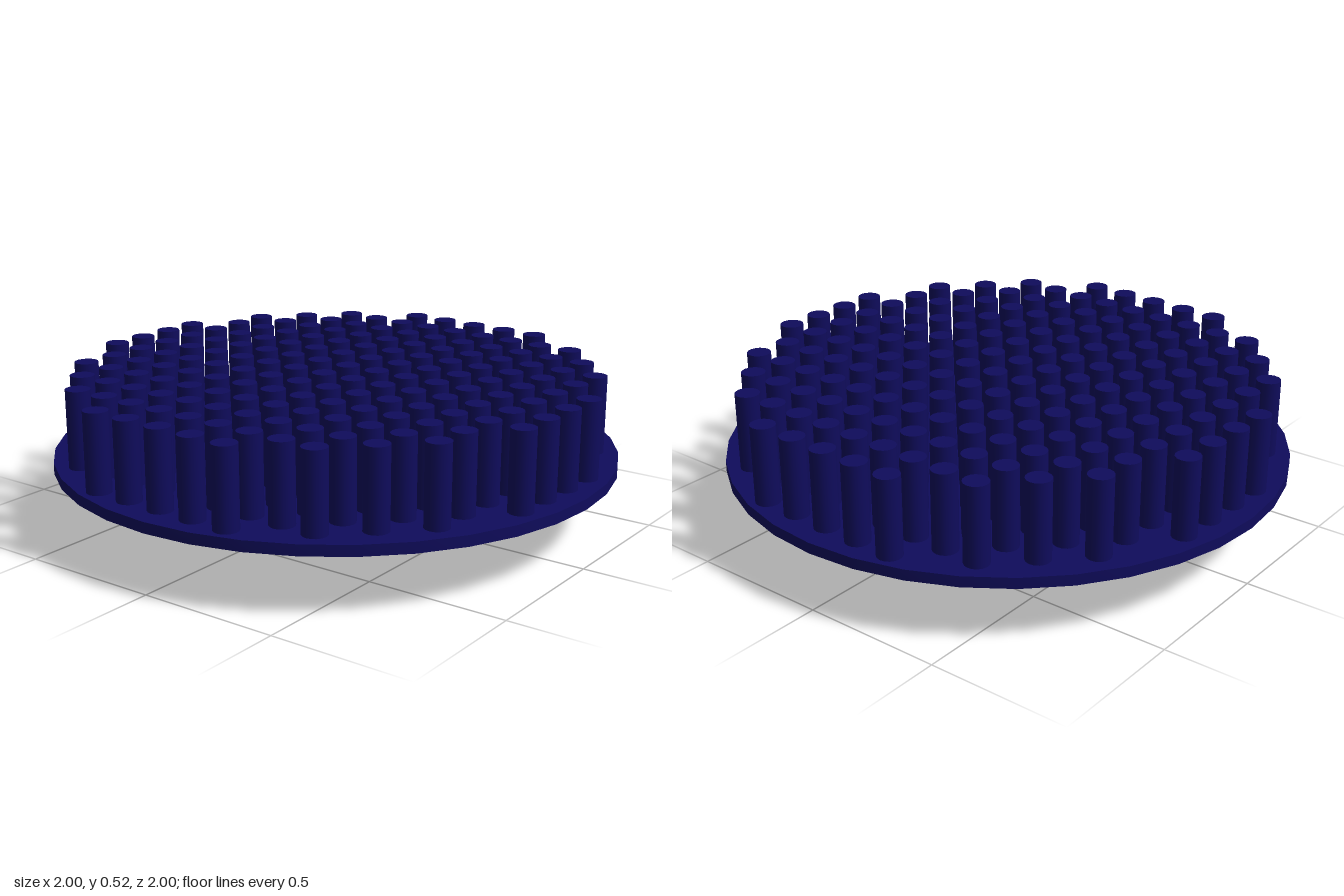
import * as THREE from 'three';
import { toCreasedNormals } from 'three/addons/utils/BufferGeometryUtils.js';

const BORE = 0.024, HUB_R = 0.063, DISC_Y = 0.205, DISC_TOP = 0.243, PEG_TOP = 0.52;

export function createModel() {
  const model = new THREE.Group();
  const grey = new THREE.MeshStandardMaterial({ color: 0xcccccc });
  const navy = new THREE.MeshStandardMaterial({ color: 0x0f0c5c });

  const add = (name, geometry, material, parent = model) => {
    const mesh = new THREE.Mesh(geometry, material);
    mesh.name = name;
    parent.add(mesh);
    return mesh;
  };
  const lathe = (points, sides) => toCreasedNormals(
    new THREE.LatheGeometry(points.map(([r, y]) => new THREE.Vector2(r, y)), sides), 0.6);

  // Thin disc with a small centre hole; its underside is grey
  add('disc', lathe([[1, DISC_Y], [1, DISC_TOP], [BORE, DISC_TOP], [BORE, DISC_Y]], 36), navy);
  add('discUnderside', lathe([[BORE, DISC_Y], [1, DISC_Y]], 36), grey);

  // Hollow hub whose top flares into the disc through a quarter-round fillet
  const profile = [[BORE, DISC_Y], [BORE, 0], [HUB_R, 0]];
  const fillet = 0.085;
  for (let i = 0; i <= 8; i++) {
    const a = (i / 8) * Math.PI / 2;
    profile.push([HUB_R + fillet * (1 - Math.cos(a)), DISC_Y - fillet + fillet * Math.sin(a)]);
  }
  add('hub', lathe(profile, 20), grey);

  // Tapered key mark wrapped on the front of the hub
  const keyPatch = (name, y0, y1, left0, right0, left1, right1) => {
    const g = new THREE.PlaneGeometry(1, 1, 8, 4);
    const p = g.attributes.position;
    for (let i = 0; i < p.count; i++) {
      const u = p.getX(i) + 0.5, t = p.getY(i) + 0.5;
      const x = THREE.MathUtils.lerp(
        THREE.MathUtils.lerp(left0, left1, t), THREE.MathUtils.lerp(right0, right1, t), u);
      const y = THREE.MathUtils.lerp(y0, y1, t);
      const rise = Math.max(0, y - (DISC_Y - fillet));
      const r = HUB_R + 0.002 + fillet - Math.sqrt(fillet * fillet - rise * rise);
      p.setXYZ(i, x, y, Math.sqrt(r * r - x * x));
    }
    g.computeVertexNormals();
    add(name, g, navy);
  };
  keyPatch('keyMark', 0, 0.125, -0.06, 0.025, -0.048, 0.012);
  keyPatch('keyMarkTip', 0.125, 0.153, -0.038, -0.004, -0.036, -0.006);

  // Rows of upright pegs, mirrored front to back and turned slightly as a whole
  const pegs = new THREE.Group();
  pegs.name = 'pegs';
  pegs.rotation.y = -0.032;
  model.add(pegs);
  const pegHeight = PEG_TOP - DISC_TOP;
  const pegGeometry = new THREE.CylinderGeometry(0.043, 0.043, pegHeight, 16);
  const pegsPerRow = [15, 15, 13, 13, 11, 9, 5];
  pegsPerRow.forEach((count, row) => {
    const pitch = count === 5 ? 0.139 : 0.128;
    for (const side of [-1, 1]) {
      for (let i = 0; i < count; i++) {
        add('peg', pegGeometry, navy, pegs).position.set(
          (i - (count - 1) / 2) * pitch, DISC_TOP + pegHeight / 2, side * (row + 0.5) * 0.137);
      }
    }
  });

  return model;
}
